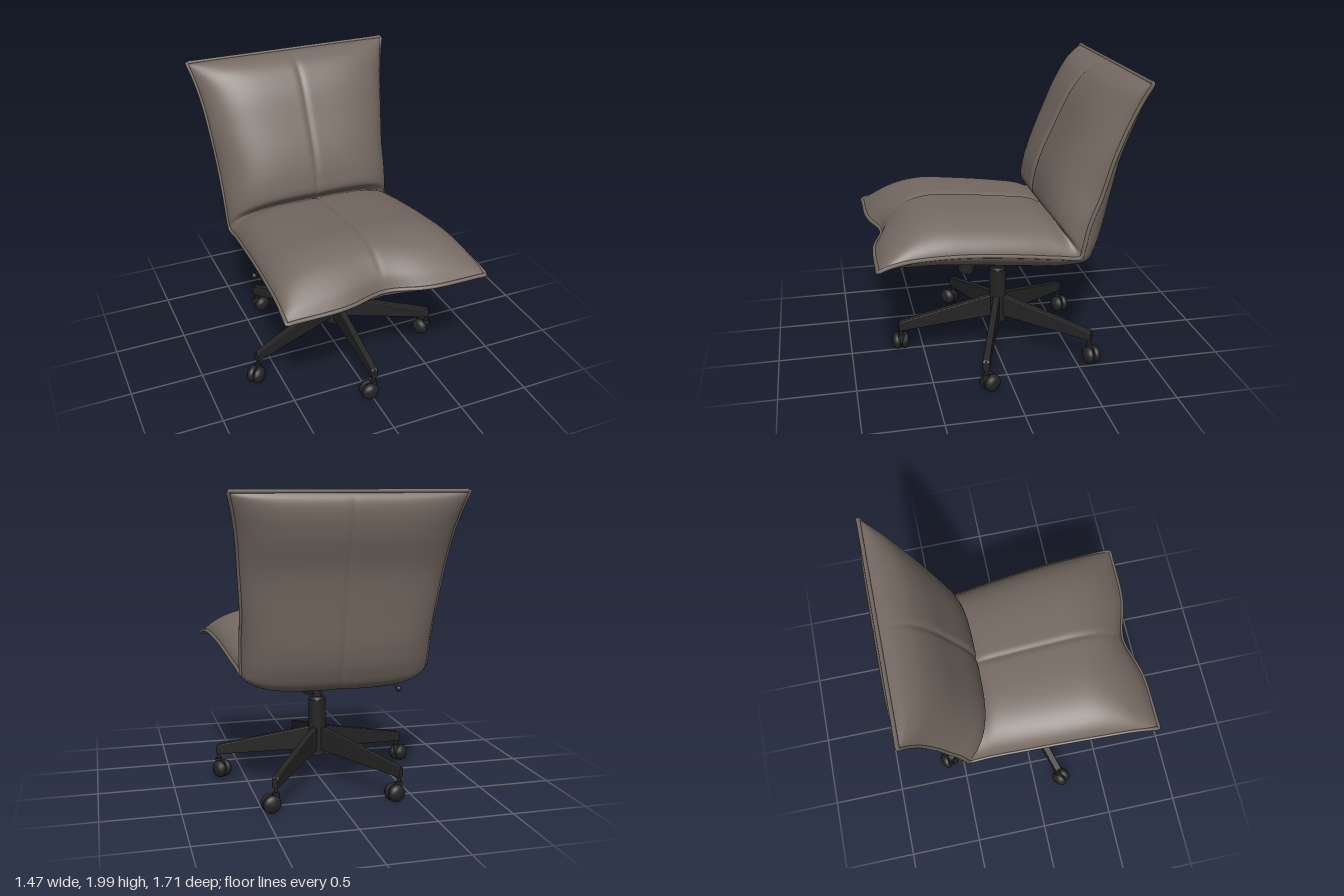
import * as THREE from 'three';

const mat = (name, color) => {
  const m = new THREE.MeshStandardMaterial({ color });
  m.name = name;
  return m;
};

// Stations from the front edge, through the seat/back fold, to the top edge:
// half width, then (y, z) of the side seam, of the inner face and of the outer face
const STATIONS = [
  [0.68, 0.915, 0.84, 0.915, 0.84, 0.915, 0.84],
  [0.675, 0.935, 0.78, 1.01, 0.765, 0.87, 0.79],
  [0.665, 0.955, 0.66, 1.11, 0.62, 0.842, 0.69],
  [0.655, 0.96, 0.45, 1.155, 0.45, 0.825, 0.45],
  [0.64, 0.945, 0.2, 1.14, 0.2, 0.79, 0.2],
  [0.62, 0.905, -0.1, 1.11, -0.08, 0.75, -0.1],
  [0.605, 0.87, -0.32, 1.085, -0.24, 0.727, -0.4],
  [0.605, 0.86, -0.45, 1.05, -0.33, 0.765, -0.56],
  [0.61, 0.92, -0.465, 1.12, -0.275, 0.87, -0.625],
  [0.615, 1.08, -0.5, 1.22, -0.28, 1.02, -0.67],
  [0.62, 1.27, -0.57, 1.37, -0.32, 1.25, -0.705],
  [0.64, 1.5, -0.63, 1.6, -0.42, 1.5, -0.75],
  [0.665, 1.73, -0.71, 1.82, -0.53, 1.73, -0.825],
  [0.7, 1.9, -0.78, 1.94, -0.63, 1.86, -0.85],
  [0.72, 1.965, -0.81, 1.988, -0.73, 1.94, -0.845],
  [0.725, 1.985, -0.818, 1.985, -0.818, 1.985, -0.818],
];
const curveAt = k => new THREE.CatmullRomCurve3(STATIONS.map(s => new THREE.Vector3(s[0], s[k], s[k + 1])));
const seamCurve = curveAt(1), innerCurve = curveAt(3), outerCurve = curveAt(5);

// Point on the cushion: t runs front to top, u from side to side
function cushionPoint(face, t, u) {
  const p = seamCurve.getPoint(t), q = face.getPoint(t);
  const puff = Math.pow(Math.max(0, 1 - u ** 4), 0.6) - 0.05 * Math.exp(-((u / 0.03) ** 2));
  const w = p.x;
  p.lerp(q, puff);
  const front = Math.max(0, 1 - t / 0.16);
  p.x = u * w + 0.02 * Math.max(0, 1 - 2 * t);
  p.z -= 0.08 * front * Math.exp(-((u / 0.3) ** 2)); // notch in the front edge
  return p;
}

function cushionFace(face, flip) {
  const NT = 120, NU = 72, pos = [], idx = [];
  for (let i = 0; i <= NT; i++)
    for (let j = 0; j <= NU; j++) {
      const s = (j / NU) * 2 - 1;
      // rows gather at both sides and around the centre stitch
      const u = Math.sin((Math.PI / 2) * Math.sign(s) * Math.abs(s) ** 1.3);
      pos.push(...cushionPoint(face, i / NT, u).toArray());
    }
  for (let i = 0; i < NT; i++)
    for (let j = 0; j < NU; j++) {
      const a = i * (NU + 1) + j, b = a + 1, c = a + NU + 1, d = c + 1;
      if (flip) idx.push(a, c, b, b, c, d);
      else idx.push(a, b, c, b, d, c);
    }
  const g = new THREE.BufferGeometry();
  g.setAttribute('position', new THREE.Float32BufferAttribute(pos, 3));
  g.setIndex(idx);
  g.computeVertexNormals();
  return g;
}

function pipingGeometry() {
  const pts = [], N = 45, M = 24;
  for (let i = 0; i < N; i++) pts.push(cushionPoint(innerCurve, i / N, -1));
  for (let j = 0; j < M; j++) pts.push(cushionPoint(innerCurve, 1, -1 + (2 * j) / M));
  for (let i = N; i > 0; i--) pts.push(cushionPoint(innerCurve, i / N, 1));
  for (let j = M; j > 0; j--) pts.push(cushionPoint(innerCurve, 0, -1 + (2 * j) / M));
  return new THREE.TubeGeometry(new THREE.CatmullRomCurve3(pts, true), 360, 0.013, 8, true);
}

export function createModel() {
  const chair = new THREE.Group();
  chair.name = 'officeChair';
  const leather = mat('taupe leather', 0x756a62);
  leather.side = THREE.DoubleSide;
  const black = mat('black metal and plastic', 0x242424);

  const add = (parent, name, geo, material, x = 0, y = 0, z = 0) => {
    const m = new THREE.Mesh(geo, material);
    m.name = name;
    m.position.set(x, y, z);
    parent.add(m);
    return m;
  };
  const cyl = (r1, r2, h, n = 28) => new THREE.CylinderGeometry(r1, r2, h, n);

  // Upholstery
  add(chair, 'cushionInnerFace', cushionFace(innerCurve, false), leather);
  add(chair, 'cushionOuterFace', cushionFace(outerCurve, true), leather);
  add(chair, 'piping', pipingGeometry(), leather);

  // Column, centred on the star base
  const base = new THREE.Group();
  base.name = 'starBase';
  base.position.set(0.015, 0, -0.035);
  chair.add(base);
  add(base, 'hub', cyl(0.06, 0.06, 0.39), black, 0, 0.375);
  add(base, 'hubCollar', cyl(0.048, 0.055, 0.02), black, 0, 0.58);
  add(base, 'gasLift', cyl(0.03, 0.03, 0.16), black, 0, 0.66);
  add(base, 'liftFlange', cyl(0.06, 0.035, 0.04), black, 0, 0.72);

  // Legs with casters; each caster swivels its own way
  const legShape = new THREE.Shape([
    [0.03, 0.225], [0.03, 0.375], [0.08, 0.365], [0.69, 0.225], [0.7, 0.215], [0.7, 0.165],
  ].map(p => new THREE.Vector2(...p)));
  const legGeo = new THREE.ExtrudeGeometry(legShape, {
    depth: 0.032, bevelEnabled: true, bevelSize: 0.005, bevelThickness: 0.007, bevelSegments: 2,
  });
  legGeo.translate(0, 0, -0.016);
  const wheelGeo = new THREE.LatheGeometry(
    [[0, -0.024], [0.05, -0.024], [0.058, -0.018], [0.058, 0], [0.05, 0.015], [0.03, 0.026], [0, 0.03]]
      .map(p => new THREE.Vector2(...p)), 24);
  const swivels = [Math.PI, 2.1, 0.2, 0.3, -2.4];
  swivels.forEach((swivel, i) => {
    const a = (i * 2 * Math.PI) / 5;
    const leg = add(base, 'leg', legGeo, black);
    leg.rotation.y = a - Math.PI / 2;
    const caster = new THREE.Group();
    caster.name = 'caster';
    caster.position.set(Math.sin(a) * 0.69, 0, Math.cos(a) * 0.69);
    caster.rotation.y = swivel;
    base.add(caster);
    add(caster, 'casterStem', cyl(0.012, 0.012, 0.12, 14), black, 0, 0.165);
    add(caster, 'casterNeck', cyl(0.022, 0.024, 0.045, 16), black, 0, 0.108);
    add(caster, 'casterHousing', new THREE.BoxGeometry(0.07, 0.05, 0.02), black, 0.02, 0.08);
    for (const s of [1, -1]) {
      const w = add(caster, 'casterWheel', wheelGeo, black, 0.035, 0.063, s * 0.03);
      w.rotation.x = (s * Math.PI) / 2;
    }
  });

  // Tilt mechanism under the seat
  add(chair, 'mountingPlate', new THREE.BoxGeometry(0.32, 0.05, 0.32), black, 0.015, 0.768, 0.035);
  const knob = new THREE.Group();
  knob.name = 'tensionKnob';
  knob.position.set(0.015, 0.69, 0.16);
  knob.rotation.x = -0.25;
  chair.add(knob);
  add(knob, 'knobShaft', cyl(0.042, 0.042, 0.15), black, 0, 0.03);
  add(knob, 'knobGrip', cyl(0.06, 0.056, 0.11, 12), black, 0, -0.07);

  // Height lever with ball end
  const V = (x, y, z) => new THREE.Vector3(x, y, z);
  const leverPath = new THREE.CatmullRomCurve3([
    V(-0.1, 0.76, -0.05), V(-0.28, 0.752, -0.07), V(-0.42, 0.75, -0.09), V(-0.46, 0.725, -0.105), V(-0.535, 0.635, -0.145),
  ]);
  add(chair, 'heightLever', new THREE.TubeGeometry(leverPath, 32, 0.008, 8), black);
  add(chair, 'leverBall', new THREE.SphereGeometry(0.021, 16, 12), black, -0.537, 0.632, -0.146);

  return chair;
}
